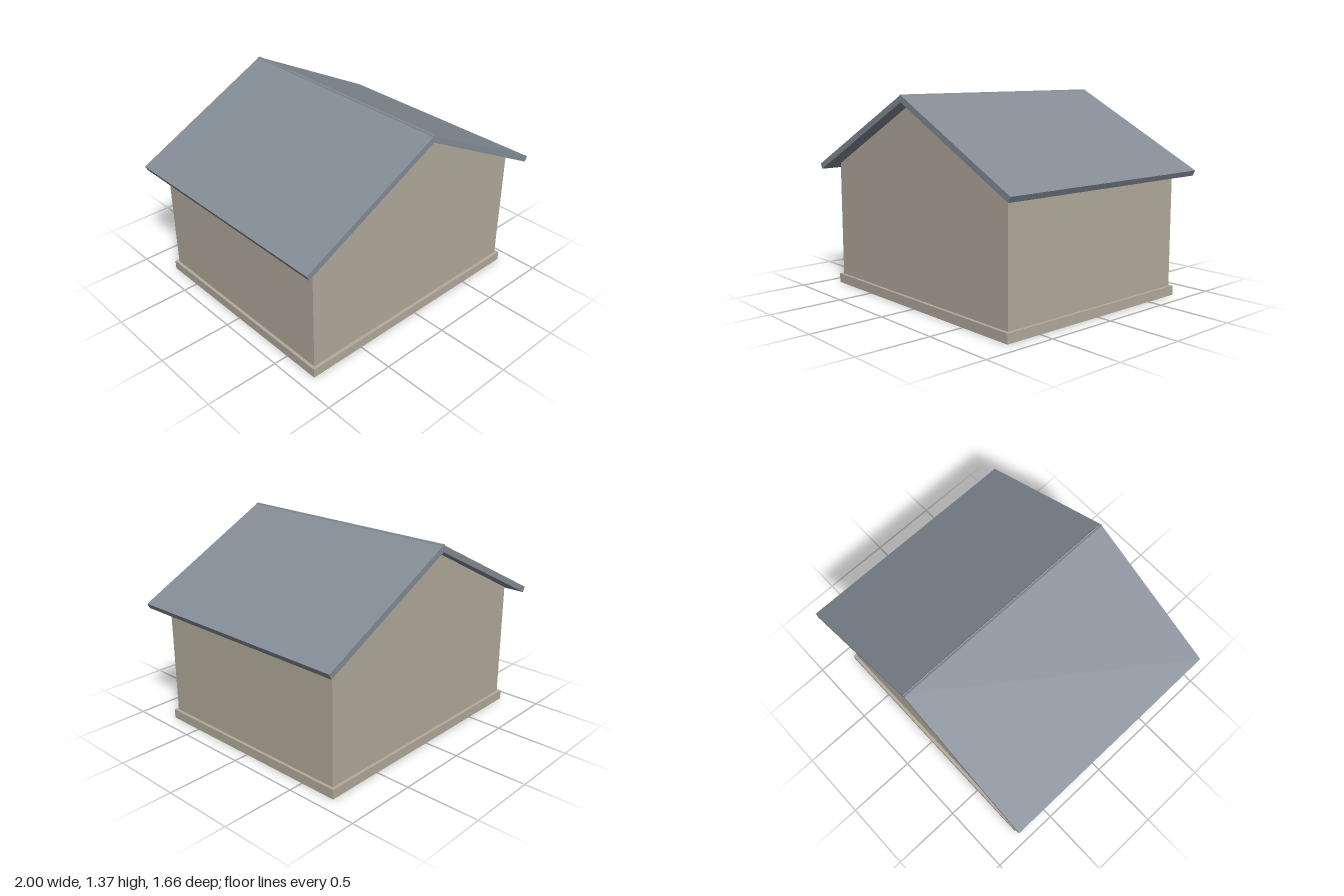
import * as THREE from 'three';

export function createModel() {
  const house = new THREE.Group();
  house.name = 'house';

  const wallMaterial = new THREE.MeshStandardMaterial({ color: 0xb3ab9c });
  wallMaterial.name = 'beige wall';
  const roofMaterial = new THREE.MeshStandardMaterial({ color: 0x848c96 });
  roofMaterial.name = 'slate roof';

  const add = (name, geometry, material) => {
    const mesh = new THREE.Mesh(geometry, material);
    mesh.name = name;
    house.add(mesh);
    return mesh;
  };

  // Foundation slab
  add('foundation', new THREE.BoxGeometry(1.8, 0.064, 1.516), wallMaterial).position.y = 0.032;

  // Walls with both gables as one extruded outline
  const outline = new THREE.Shape([
    new THREE.Vector2(-0.88, 0.06),
    new THREE.Vector2(0.88, 0.06),
    new THREE.Vector2(0.88, 0.864),
    new THREE.Vector2(0, 1.322),
    new THREE.Vector2(-0.88, 0.864),
  ]);
  const walls = new THREE.ExtrudeGeometry(outline, { depth: 1.474, bevelEnabled: false });
  walls.translate(0, 0, -0.737);
  add('walls', walls, wallMaterial);

  // Roof slabs, tilted about the ridge and overlapping slightly there
  const pitch = THREE.MathUtils.degToRad(27);
  const thickness = 0.04;
  const overlap = 0.007;
  const slope = 1 / Math.cos(pitch);
  for (const side of [1, -1]) {
    const slab = new THREE.BoxGeometry(slope + overlap, thickness, 1.656);
    slab.translate(side * (slope - overlap) / 2, -thickness / 2, 0);
    slab.rotateZ(-side * pitch);
    add(side > 0 ? 'leftRoofSlab' : 'rightRoofSlab', slab, roofMaterial).position.y = 1.367;
  }

  return house;
}
